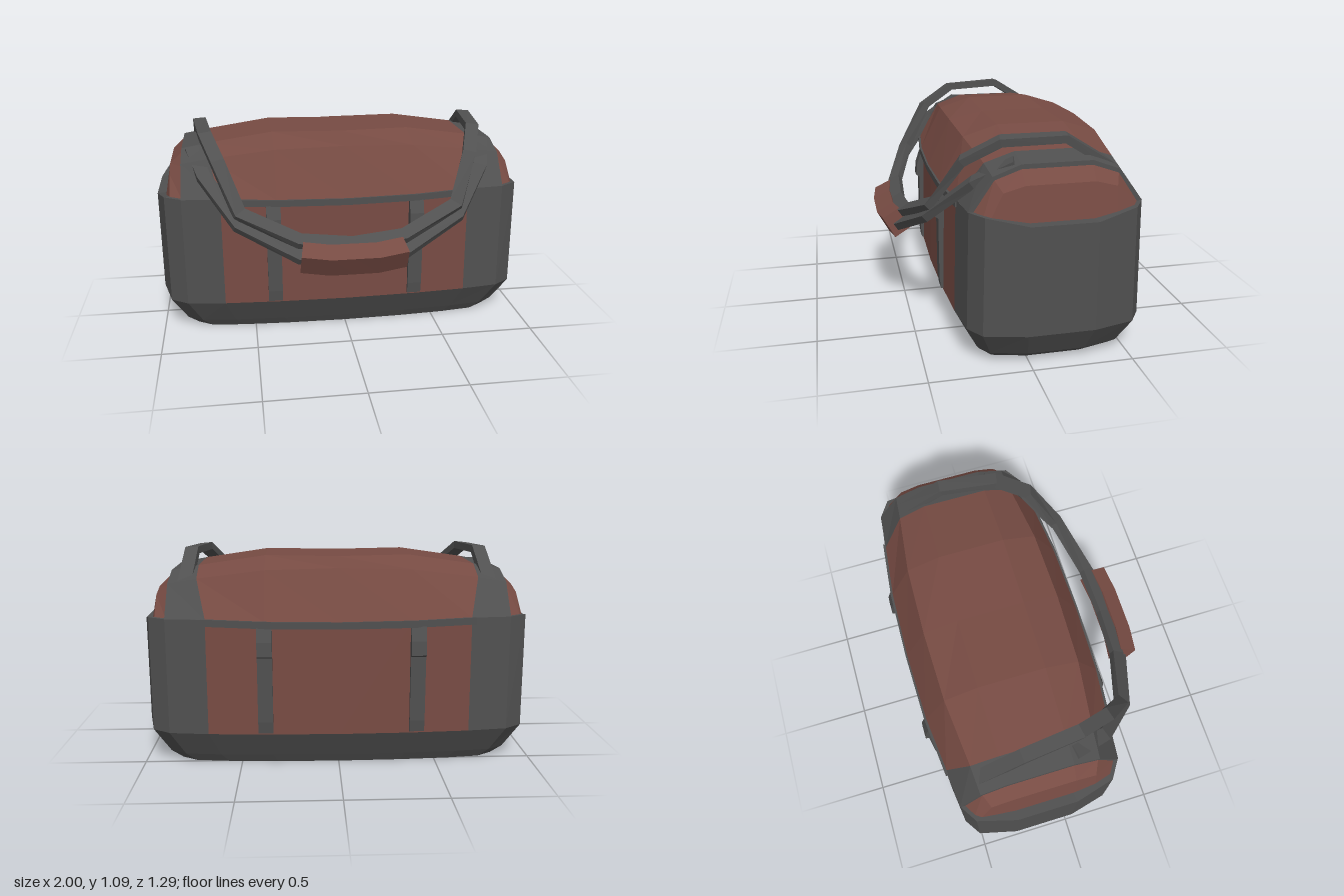
import * as THREE from 'three';

const grey = new THREE.MeshStandardMaterial({ color: 0x505050 });
const brown = new THREE.MeshStandardMaterial({ color: 0x774b43 });
grey.name = 'charcoal fabric';
brown.name = 'russet fabric';
grey.flatShading = brown.flatShading = true;

const CZ = -0.137; // middle of the bag in z

// Skins a list of equal-length rings; rings run counter-clockwise seen from the loft's end.
function loft(rings, { closed = true, capStart = false, capEnd = false } = {}) {
  const pos = [];
  const tri = (a, b, c) => pos.push(...a, ...b, ...c);
  const n = rings[0].length;
  for (let i = 0; i < rings.length - 1; i++) {
    for (let j = 0; j < (closed ? n : n - 1); j++) {
      const k = (j + 1) % n;
      const [a, b, c, d] = [rings[i][j], rings[i][k], rings[i + 1][k], rings[i + 1][j]];
      tri(a, b, c);
      tri(a, c, d);
    }
  }
  const fan = (ring, flip) => {
    const mid = [0, 1, 2].map((k) => ring.reduce((s, p) => s + p[k], 0) / n);
    ring.forEach((p, j) => {
      const q = ring[(j + 1) % n];
      flip ? tri(mid, q, p) : tri(mid, p, q);
    });
  };
  if (capStart) fan(rings[0], true);
  if (capEnd) fan(rings[rings.length - 1], false);
  const g = new THREE.BufferGeometry();
  g.setAttribute('position', new THREE.Float32BufferAttribute(pos, 3));
  g.computeVertexNormals();
  return g;
}

// Sweeps a rectangle along points; "high" is measured along the hint direction.
function sweep(points, high, wide, hint) {
  const P = points.map((p) => new THREE.Vector3(...p));
  const rings = P.map((p, i) => {
    const prev = P[Math.max(i - 1, 0)], next = P[Math.min(i + 1, P.length - 1)];
    const T = next.clone().sub(p).normalize().add(p.clone().sub(prev).normalize()).normalize();
    const N = new THREE.Vector3(...hint);
    N.addScaledVector(T, -N.dot(T)).normalize();
    const B = new THREE.Vector3().crossVectors(T, N);
    return [[1, 1], [-1, 1], [-1, -1], [1, -1]].map(([u, v]) =>
      p.clone().addScaledVector(N, (u * high) / 2).addScaledVector(B, (v * wide) / 2).toArray());
  });
  return loft(rings, { capStart: true, capEnd: true });
}

// Completes a right-hand path (outer end first, last point on x = 0) with its mirror image.
const mirrorPath = (pts) => [...pts, ...pts.slice(0, -1).reverse().map(([x, y, z]) => [-x, y, z])];

// Plan outline as [x, half depth]
const FRONT = [[-0.66, 0.455], [-0.37, 0.472], [0, 0.48], [0.37, 0.472], [0.66, 0.455]];
const END = [[0.66, 0.455], [0.86, 0.43], [0.95, 0.37], [1, 0.165],
  [1, -0.165], [0.95, -0.37], [0.86, -0.43], [0.66, -0.455]];
const turn = (chain) => chain.map(([x, h]) => [-x, -h]);
const OUTLINE = [...FRONT, ...END.slice(1, -1), ...turn(FRONT), ...turn(END.slice(1, -1))];
const level = (chain, y, sx = 1, sh = 1) => chain.map(([x, h]) => [x * sx, y, h * sh + CZ]);
const topLevel = (chain) => chain.map(([x, h]) =>
  [x, Math.abs(x) === 1 ? 0.725 : 0.765, h * 0.97 + CZ]);

// Arched section across the bag: rim, shoulder and crown as [x, half depth, y]
function arch(rim, shoulder, crown) {
  const at = ([x, h, y], s) => [x, y, s * h + CZ];
  return [at(rim, 1), at(rim, -1), at(shoulder, -1), at(crown, -1), at(crown, 1), at(shoulder, 1)];
}
const flipX = (rings) => rings.map((r) => r.map(([x, y, z]) => [-x, y, z])).reverse();

export function createModel() {
  const bag = new THREE.Group();
  bag.name = 'duffelBag';
  const add = (name, geometry, material, parent = bag) => {
    const m = new THREE.Mesh(geometry, material);
    m.name = name;
    parent.add(m);
    return m;
  };

  // Tapered base and the walls above it
  add('base', loft([level(OUTLINE, 0, 0.86, 0.81), level(OUTLINE, 0.045, 0.92, 0.86),
    level(OUTLINE, 0.18)], { capStart: true }), grey);
  const wall = (chain) => loft([level(chain, 0.18), topLevel(chain)], { closed: false });
  add('frontPanel', wall(FRONT), brown);
  add('backPanel', wall(turn(FRONT)), brown);
  add('leftEndWall', wall(END), grey);
  add('rightEndWall', wall(turn(END)), grey);
  const top = topLevel(OUTLINE);
  add('bodyTop', loft([top, top], { capEnd: true }), grey);

  // Lid, with the bands and rounded caps at both ends
  const seam = arch([0.66, 0.438, 0.765], [0.71, 0.315, 0.95], [0.715, 0.17, 1.0]);
  const bulge = arch([0.37, 0.47, 0.757], [0.37, 0.35, 0.995], [0.37, 0.175, 1.05]);
  const middle = arch([0, 0.48, 0.753], [0, 0.358, 1.005], [0, 0.175, 1.043]);
  add('lid', loft([...flipX([bulge, seam]), middle, bulge, seam]), brown);
  const band = [seam, arch([0.86, 0.42, 0.765], [0.857, 0.305, 0.925], [0.855, 0.17, 0.975])];
  const cap = [
    arch([0.855, 0.4, 0.76], [0.855, 0.297, 0.91], [0.855, 0.17, 0.953]),
    arch([0.92, 0.36, 0.76], [0.92, 0.27, 0.865], [0.92, 0.165, 0.893]),
    arch([0.945, 0.35, 0.72], [0.95, 0.27, 0.715], [0.955, 0.165, 0.71]),
  ];
  for (const [side, f] of [['left', (r) => r], ['right', flipX]]) {
    const caps = { capStart: side === 'right', capEnd: side === 'left' };
    add(side + 'Band', loft(f(band), caps), grey);
    add(side + 'EndCap', loft(f(cap), caps), brown);
  }

  // Zip strips under the lid rim, and vertical straps with buckles
  const buckleProfile = new THREE.Shape([[0.44, 0.18], [0.482, 0.19], [0.489, 0.25], [0.489, 0.58],
    [0.506, 0.59], [0.5, 0.66], [0.476, 0.73], [0.44, 0.73]].map((p) => new THREE.Vector2(...p)));
  const strapGeometry = new THREE.ExtrudeGeometry(buckleProfile, { depth: 0.075, bevelEnabled: false });
  strapGeometry.translate(0, 0, -0.0375).rotateY(-Math.PI / 2);
  for (const [side, s] of [['front', 1], ['back', -1]]) {
    const path = mirrorPath([[0.68, 0.75, s * 0.43 + CZ], [0.37, 0.742, s * 0.462 + CZ],
      [0, 0.738, s * 0.47 + CZ]]);
    add(side + 'Zip', sweep(path, 0.035, 0.036, [0, 1, 0]), grey);
    for (const x of [-0.39, 0.37]) {
      const strap = add(side + 'Strap', strapGeometry, grey);
      strap.position.set(x, 0, CZ);
      strap.rotation.y = s > 0 ? 0 : Math.PI;
    }
  }

  // Carrying handle: two webbing loops joined by a padded grip
  const handle = new THREE.Group();
  handle.name = 'handle';
  bag.add(handle);
  const hint = [0, 0.85, 0.5];
  add('backLoop', sweep(mirrorPath([[0.77, 0.92, -0.43], [0.76, 1.065, -0.2], [0.725, 1.055, 0.1],
    [0.665, 0.955, 0.27], [0.565, 0.72, 0.41], [0.27, 0.595, 0.505], [0, 0.57, 0.52]]),
  0.04, 0.07, hint), grey, handle);
  add('frontLoop', sweep(mirrorPath([[0.8, 0.97, 0.05], [0.74, 0.87, 0.235], [0.57, 0.665, 0.425],
    [0.27, 0.52, 0.53], [0, 0.5, 0.55]]), 0.04, 0.07, hint), grey, handle);
  add('grip', sweep(mirrorPath([[0.265, 0.523, 0.55], [0.12, 0.508, 0.57], [0, 0.508, 0.57]]),
    0.125, 0.1, [0, 0.87, 0.48]), brown, handle);

  return bag;
}
